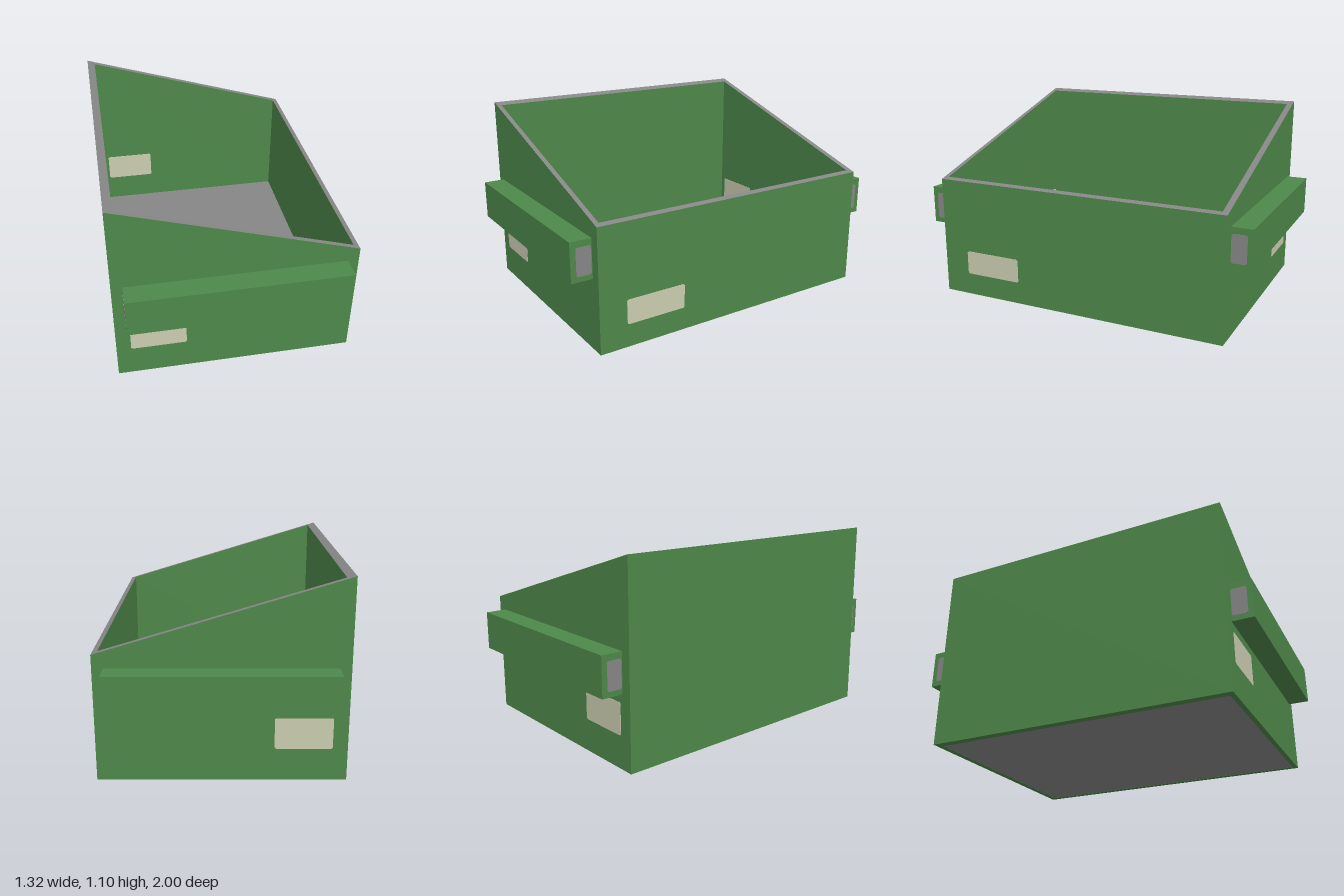
import * as THREE from 'three';

const green = new THREE.MeshStandardMaterial({ color: 0x4e884a });
green.name = 'green paint';
const grey = new THREE.MeshStandardMaterial({ color: 0x868686 });
grey.name = 'bare grey metal';
const cream = new THREE.MeshStandardMaterial({ color: 0xcaccb0 });
cream.name = 'cream label';

const W = 0.66, D = 0.88;                                        // outer half width and depth
const IN = { x0: -0.615, x1: 0.63, z0: -0.845, z1: 0.853 };      // inner faces of the walls
const rimHeight = (x) => 0.9 - 0.306 * x;                        // sloping top edge

function rectangle(path, x0, y0, x1, y1) {
  return path.moveTo(x0, y0).lineTo(x1, y0).lineTo(x1, y1).lineTo(x0, y1).closePath();
}

function add(parent, name, geometry, material, x = 0, y = 0, z = 0) {
  const mesh = new THREE.Mesh(geometry, material);
  mesh.name = name;
  mesh.position.set(x, y, z);
  parent.add(mesh);
  return mesh;
}

// Four walls as one extruded ring, its top cut on a slope and left bare
function wallGeometry() {
  const ring = rectangle(new THREE.Shape(), -W, -D, W, D);
  ring.holes.push(rectangle(new THREE.Path(), IN.x0, -IN.z1, IN.x1, -IN.z0));
  const geo = new THREE.ExtrudeGeometry(ring, { depth: 1, bevelEnabled: false });
  geo.rotateX(-Math.PI / 2);
  const p = geo.attributes.position;
  for (let i = 0; i < p.count; i++) {
    if (p.getY(i) > 0.5) p.setY(i, rimHeight(p.getX(i)));
  }
  geo.computeVertexNormals();
  const caps = geo.groups[0].count;
  geo.clearGroups();
  geo.addGroup(0, caps / 2, 0);                  // underside
  geo.addGroup(caps / 2, caps / 2, 1);           // rim
  geo.addGroup(caps, p.count - caps, 0);         // sides
  return geo;
}

// Thin plate with clipped corners, facing z
function plateGeometry(w, h, c = 0.008, t = 0.004) {
  const a = w / 2, b = h / 2;
  const s = new THREE.Shape([
    [-a + c, -b], [a - c, -b], [a, -b + c], [a, b - c],
    [a - c, b], [-a + c, b], [-a, b - c], [-a, -b + c],
  ].map(([x, y]) => new THREE.Vector2(x, y)));
  return new THREE.ExtrudeGeometry(s, { depth: t, bevelEnabled: false }).translate(0, 0, -t / 2);
}

export function createModel() {
  const model = new THREE.Group();
  model.name = 'openBin';

  add(model, 'walls', wallGeometry(), [green, grey]);

  // Floor panel set between the walls
  add(model, 'floor', new THREE.BoxGeometry(IN.x1 - IN.x0, 0.006, IN.z1 - IN.z0), grey,
    (IN.x0 + IN.x1) / 2, 0.004, (IN.z0 + IN.z1) / 2);

  // Lifting sleeves with grey openings at both ends
  for (const side of [1, -1]) {
    const sleeve = new THREE.Group();
    sleeve.name = side > 0 ? 'frontSleeve' : 'backSleeve';
    model.add(sleeve);
    add(sleeve, 'sleeveBody', new THREE.BoxGeometry(1.2, 0.22, 0.12), green, 0, 0.515, side * 0.94);
    for (const end of [1, -1]) {
      add(sleeve, 'sleeveOpening', plateGeometry(0.085, 0.155), grey, end * 0.6, 0.512, side * 0.9275)
        .rotation.y = Math.PI / 2;
    }
  }

  // Labels, seen on both faces of their wall
  const wide = plateGeometry(0.305, 0.175);
  for (const z of [D, IN.z1, IN.z0, -D]) add(model, 'label', wide, cream, -0.428, 0.268, z);
  const low = plateGeometry(0.355, 0.14);
  for (const x of [W, IN.x1]) add(model, 'sideLabel', low, cream, x, 0.2, 0.543).rotation.y = Math.PI / 2;

  return model;
}
